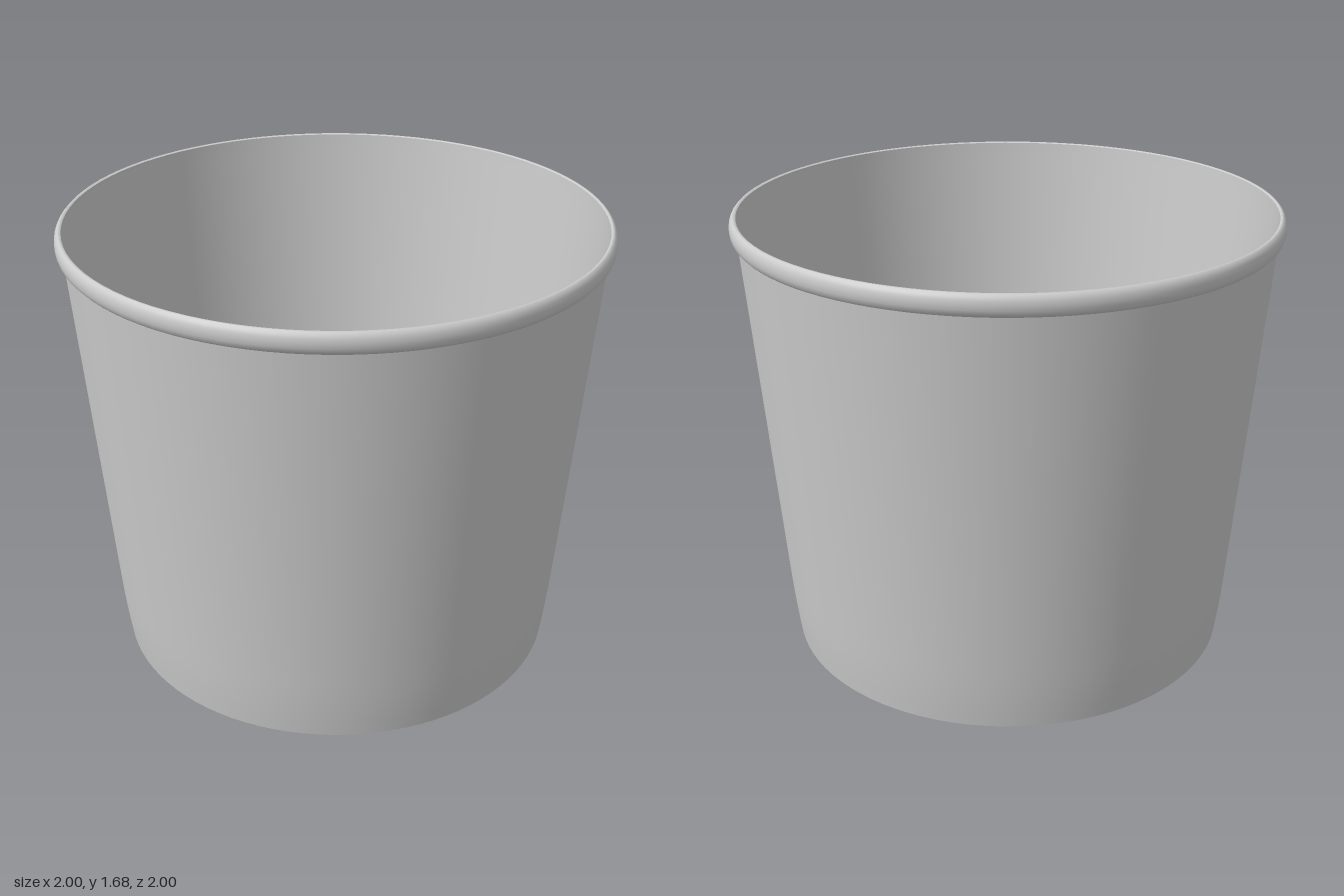
import * as THREE from 'three';

const SEGMENTS = 96;

export function createModel() {
  const group = new THREE.Group();
  group.name = 'cup';
  const material = new THREE.MeshStandardMaterial({ color: 0xcccccc, roughness: 0.8 });

  // Each smooth band is its own lathe, so the joins between bands stay sharp.
  // Profiles are [radius, height], running up the outside and down the inside.
  function band(name, profile) {
    const points = profile.map(([r, y]) => new THREE.Vector2(r, y));
    const mesh = new THREE.Mesh(new THREE.LatheGeometry(points, SEGMENTS), material);
    mesh.name = name;
    group.add(mesh);
  }

  // Tapered wall, drawn in slightly at the foot
  band('outerWall', [[0.84, 0], [0.848, 0.06], [0.855, 0.12], [0.861, 0.18], [0.866, 0.24], [0.975, 1.6]]);

  // Rolled lip
  band('rolledRim', [
    [0.975, 1.6], [0.985, 1.602], [0.994, 1.612], [0.999, 1.627], [1, 1.643],
    [0.998, 1.658], [0.993, 1.669], [0.986, 1.677], [0.98, 1.679], [0.974, 1.675],
  ]);

  band('innerWall', [[0.974, 1.675], [0.97, 1.62], [0.837, 0.145]]);

  // Raised floor, seen from inside and from below
  band('floorTop', [[0.837, 0.145], [0, 0.145]]);
  band('floorUnderside', [[0, 0.13], [0.836, 0.13]]);

  // Hollow foot under the floor
  band('footInside', [[0.836, 0.13], [0.828, 0]]);
  band('footEdge', [[0.828, 0], [0.84, 0]]);

  return group;
}
